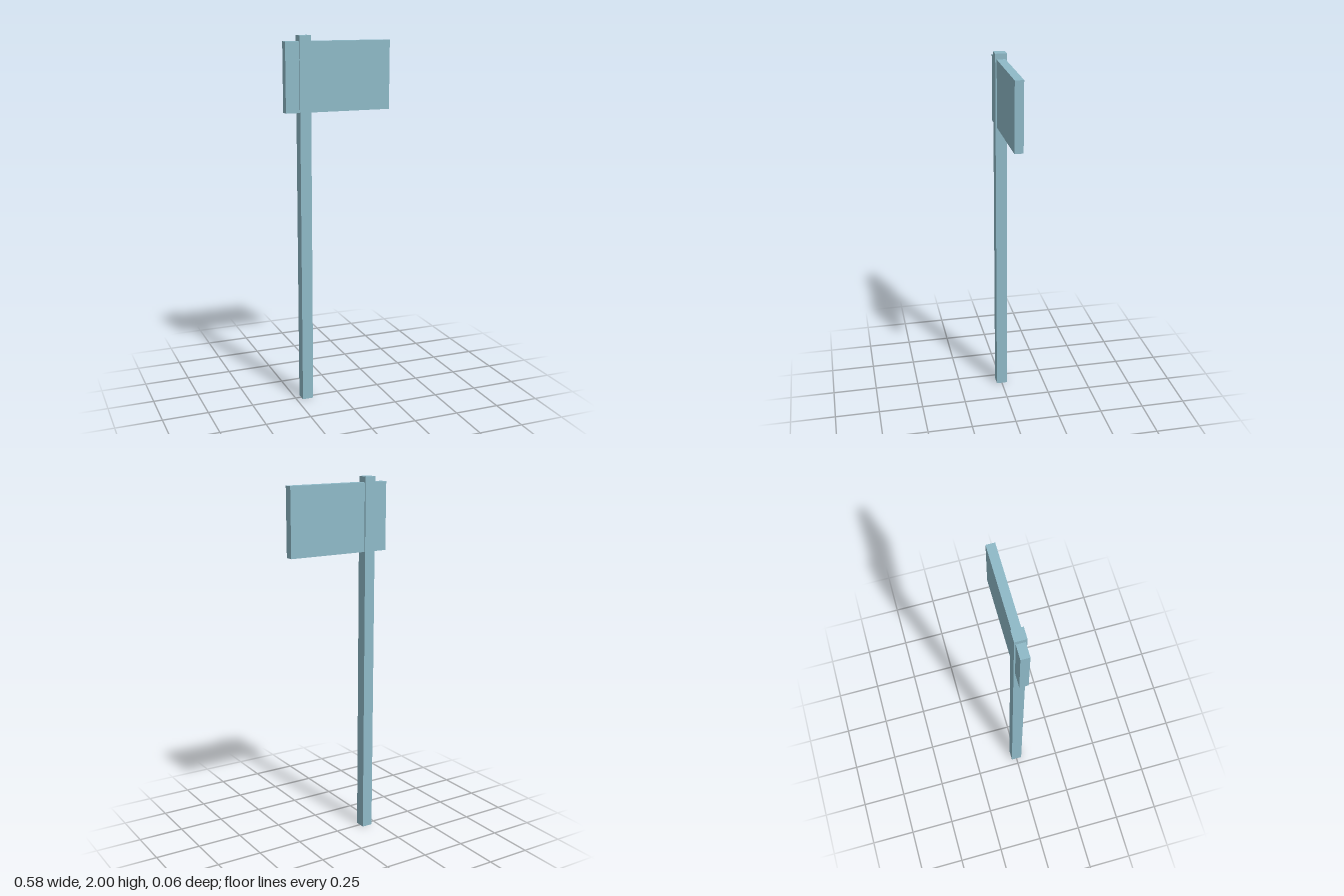
import * as THREE from 'three';

export function createModel() {
  const model = new THREE.Group();
  model.name = 'signpost';

  const paleBlue = new THREE.MeshStandardMaterial({ color: 0x8fbac8 });
  paleBlue.name = 'paleBlue';

  const addBox = (name, [w, h, d], [x, y, z]) => {
    const mesh = new THREE.Mesh(new THREE.BoxGeometry(w, h, d), paleBlue);
    mesh.name = name;
    mesh.position.set(x, y, z);
    model.add(mesh);
  };

  // Square upright, standing off-centre
  addBox('post', [0.061, 2, 0.061], [-0.186, 1, 0]);
  // Panel passing through the top of the post
  addBox('signBoard', [0.584, 0.366, 0.046], [0, 1.787, 0]);

  return model;
}
